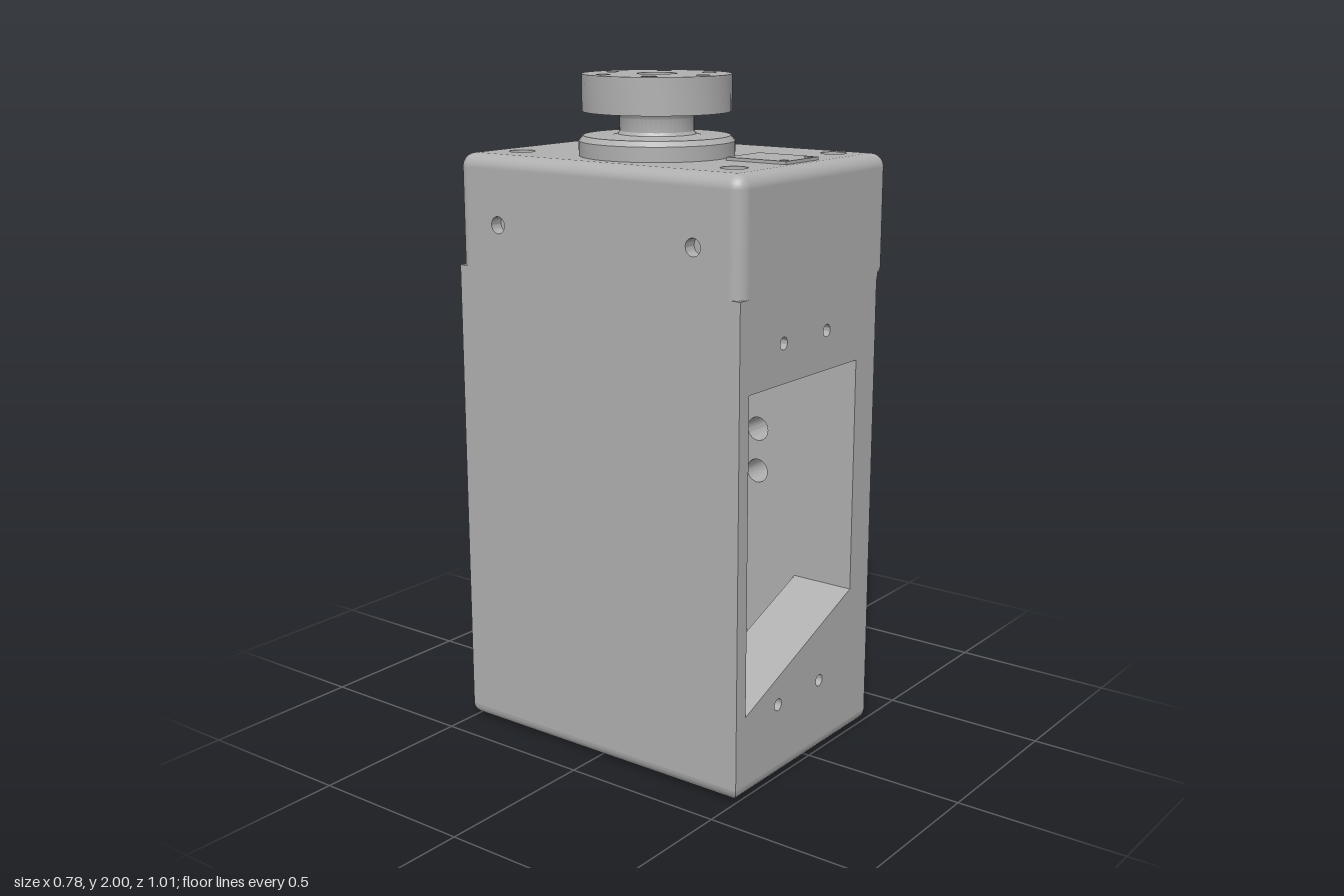
import * as THREE from 'three';
import { toCreasedNormals } from 'three/addons/utils/BufferGeometryUtils.js';
import { RoundedBoxGeometry } from 'three/addons/geometries/RoundedBoxGeometry.js';

const grey = new THREE.MeshStandardMaterial({ color: 0xb0b0b0, side: THREE.DoubleSide });
grey.name = 'machined grey';

const R = 0.04;            // edge rounding
const AXIS = -0.09;        // x of the output shaft

function polygon(points) {
  return new THREE.Shape(points.map(([x, y]) => new THREE.Vector2(x, y)));
}
function rect(x0, x1, y0, y1) {
  return polygon([[x0, y0], [x1, y0], [x1, y1], [x0, y1]]);
}
function circle(x, y, r) {
  return new THREE.Shape().absarc(x, y, r, 0, Math.PI * 2, false);
}
function ring(n, radius, r, start = 0, x = 0, y = 0) {
  return Array.from({ length: n }, (_, i) => {
    const a = start + (i * Math.PI * 2) / n;
    return circle(x + radius * Math.cos(a), y + radius * Math.sin(a), r);
  });
}
function add(parent, name, geometry) {
  const mesh = new THREE.Mesh(geometry, grey);
  mesh.name = name;
  parent.add(mesh);
  return mesh;
}
// A plate with holes; its outline lies in local x/y and it grows along local z
function plate(parent, name, shape, holes, depth) {
  shape.holes.push(...holes);
  const g = new THREE.ExtrudeGeometry(shape, { depth, bevelEnabled: false, curveSegments: 16 });
  return add(parent, name, toCreasedNormals(g, 0.5));
}
// A turned part, along y
function turned(parent, name, points, segments = 48) {
  const g = new THREE.LatheGeometry(points.map(([r, y]) => new THREE.Vector2(r, y)), segments);
  return add(parent, name, toCreasedNormals(g, 0.5));
}
// The blind end of a hole, in the frame of a plate
function holeEnd(parent, x, y, z, r, sunk = false) {
  const profile = sunk
    ? [[0, -0.07], [r * 0.7, -0.07], [r * 0.7, -0.025], [r, -0.008]]
    : [[0, -0.001], [r, 0]];
  const m = turned(parent, sunk ? 'countersink' : 'holeEnd', profile, 24);
  m.rotation.x = Math.PI / 2;
  m.position.set(x, y, z);
}

export function createModel() {
  const model = new THREE.Group();
  model.name = 'actuator';

  // Front and back walls with the sloped window
  for (const side of [1, -1]) {
    const outline = polygon([[-0.39, R], [0.31, R], [0.31, 1.4], [0.32, 1.44], [0.32, 1.73],
      [-0.35, 1.73], [-0.35, 1.44], [-0.39, 1.44]]);
    const window = polygon([[-0.345, 0.25], [0.205, 0.47], [0.205, 1.18], [-0.345, 1.18]]);
    const spots = [[-0.18, 1.295], [0.04, 1.295], [-0.18, 0.23], [0.04, 0.23]];
    const wall = plate(model, side > 0 ? 'frontWall' : 'backWall', outline,
      [window, ...spots.map(([x, y]) => circle(x, y, 0.018))], 0.2);
    wall.position.z = side > 0 ? 0.305 : -0.505;
    for (const [x, y] of spots) holeEnd(wall, x, y, 0.1, 0.018);
  }

  // Left wall with a ring of through holes
  const left = plate(model, 'leftWall', rect(-0.505, 0.505, R, 1.42),
    ring(8, 0.175, 0.037, Math.PI / 8, 0, 0.85), 0.105);
  left.rotation.y = Math.PI / 2;
  left.position.x = 0.205;

  // Right wall with screw holes
  const screws = [];
  for (const s of [1, -1]) screws.push([s * 0.35, 1.57], [s * 0.35, 1.29], [s * 0.43, 0.09]);
  const right = plate(model, 'rightWall', polygon([[-0.505, R], [0.505, R], [0.505, 1.44],
    [0.465, 1.44], [0.465, 1.73], [-0.465, 1.73], [-0.465, 1.44], [-0.505, 1.44]]),
  screws.map(([u, v]) => circle(u, v, 0.025)), 0.045);
  right.rotation.y = -Math.PI / 2;
  right.position.x = -0.345;
  for (const [u, v] of screws) holeEnd(right, u, v, 0.005, 0.025);

  // Rounded edges of the cap: a rounded box without its flat faces, except underneath
  const half = [0.375, 0.185, 0.505];
  const box = new RoundedBoxGeometry(0.75, 0.37, 1.01, 4, R);
  const pos = box.attributes.position, nor = box.attributes.normal;
  const keptPos = [], keptNor = [];
  for (let i = 0; i < pos.count; i += 3) {
    const flat = half.some((h, k) => [1, -1].some((s) => !(k === 1 && s < 0)
      && [0, 1, 2].every((j) => s * pos.getComponent(i + j, k) > h - 1e-4)));
    if (flat) continue;
    for (let j = 0; j < 3; j++) {
      for (let k = 0; k < 3; k++) {
        keptPos.push(pos.getComponent(i + j, k));
        keptNor.push(nor.getComponent(i + j, k));
      }
    }
  }
  const capGeo = new THREE.BufferGeometry();
  capGeo.setAttribute('position', new THREE.Float32BufferAttribute(keptPos, 3));
  capGeo.setAttribute('normal', new THREE.Float32BufferAttribute(keptNor, 3));
  add(model, 'capEdges', capGeo).position.set(-0.015, 1.585, 0);

  // Cap top with countersunk corner holes
  const corners = [[-0.245, 0.38], [0.257, 0.38], [-0.245, -0.38], [0.257, -0.38]];
  const top = plate(model, 'capTop', rect(-0.35, 0.32, -0.465, 0.465),
    [...corners.map(([x, y]) => circle(x, y, 0.038)), circle(AXIS, 0, 0.08)], 0.15);
  top.rotation.x = -Math.PI / 2;
  top.position.y = 1.62;
  for (const [x, y] of corners) holeEnd(top, x, y, 0.15, 0.038, true);

  // Cap side with two countersunk holes and a button
  const side = plate(model, 'capSide', rect(-0.465, 0.465, 1.44, 1.73),
    [circle(0.19, 1.53, 0.043), circle(-0.19, 1.53, 0.043)], 0.08);
  side.rotation.y = Math.PI / 2;
  side.position.x = 0.28;
  for (const s of [1, -1]) holeEnd(side, s * 0.19, 1.53, 0.08, 0.043, true);
  const button = turned(model, 'button',
    [[0.066, 0], [0.055, 0.006], [0.042, 0.018], [0.032, 0.025], [0.018, 0.029], [0, 0.03]], 32);
  button.rotation.z = -Math.PI / 2;
  button.position.set(0.36, 1.655, 0.028);

  // Rounded bottom edge, mitred at the corners
  const verts = [], index = [], steps = 6;
  for (let k = 0; k < 4; k++) {
    const base = verts.length / 3;
    for (let i = 0; i <= steps; i++) {
      const a = (i / steps) * Math.PI / 2;
      const inset = R * (1 - Math.cos(a)), y = R * (1 - Math.sin(a));
      const c = [[0.31 - inset, 1], [0.31 - inset, -1], [-0.39 + inset, -1], [-0.39 + inset, 1]];
      for (const [x, s] of [c[k], c[(k + 1) % 4]]) verts.push(x, y, s * (0.505 - inset));
      if (i < steps) {
        const b = base + i * 2;
        index.push(b, b + 2, b + 1, b + 1, b + 2, b + 3);
      }
    }
  }
  const edge = new THREE.BufferGeometry();
  edge.setAttribute('position', new THREE.Float32BufferAttribute(verts, 3));
  edge.setIndex(index);
  edge.computeVertexNormals();
  add(model, 'bottomEdge', edge);

  // Bottom with its square recess
  const bottom = plate(model, 'bottom', rect(-0.35, 0.27, -0.465, 0.465),
    [rect(-0.34, 0.1, -0.25, 0.25)], 0.18);
  bottom.rotation.x = Math.PI / 2;
  bottom.position.y = 0.18;

  // Cavity floor and ceiling
  const floor = plate(model, 'cavityFloor', rect(-0.345, 0.205, -0.305, 0.305),
    [circle(AXIS, 0, 0.12), ...ring(6, 0.175, 0.022, Math.PI / 6, AXIS, 0)], 0.07);
  floor.rotation.x = -Math.PI / 2;
  floor.position.y = 0.18;
  const ceiling = plate(model, 'cavityCeiling', rect(-0.345, 0.205, -0.305, 0.305),
    [circle(AXIS, 0, 0.23)], 0.08);
  ceiling.rotation.x = -Math.PI / 2;
  ceiling.position.y = 1.18;

  // Output shaft: flange, neck, bore, inner hub and horn
  turned(model, 'flangeAndNeck', [[0.225, 1.77], [0.225, 1.812], [0.212, 1.827], [0.13, 1.827],
    [0.113, 1.831], [0.107, 1.84], [0.107, 1.878], [0.113, 1.889], [0.13, 1.895]]).position.x = AXIS;
  turned(model, 'bore', [[0.062, 1.2], [0.062, 1.9]], 32).position.x = AXIS;
  const hub = plate(model, 'innerHub', circle(0, 0, 0.23),
    [circle(0, 0, 0.062), ...ring(6, 0.163, 0.022, Math.PI / 6)], 0.05);
  hub.rotation.x = -Math.PI / 2;
  hub.position.set(AXIS, 1.2, 0);
  const keyed = new THREE.Path().absarc(0, 0, 0.057, -1.07, Math.PI + 1.07, false);
  keyed.closePath();
  const horn = plate(model, 'horn', circle(0, 0, 0.215),
    [keyed, ...ring(6, 0.163, 0.022, Math.PI / 6)], 0.105);
  horn.rotation.x = -Math.PI / 2;
  horn.position.set(AXIS, 1.895, 0);

  // Small plate on the top
  const tag = plate(model, 'topTag', rect(-0.1, 0.065, -0.45, -0.25),
    [circle(-0.075, -0.428, 0.012), circle(0.045, -0.428, 0.012)], 0.009);
  tag.rotation.x = -Math.PI / 2;
  tag.position.y = 1.77;

  return model;
}
